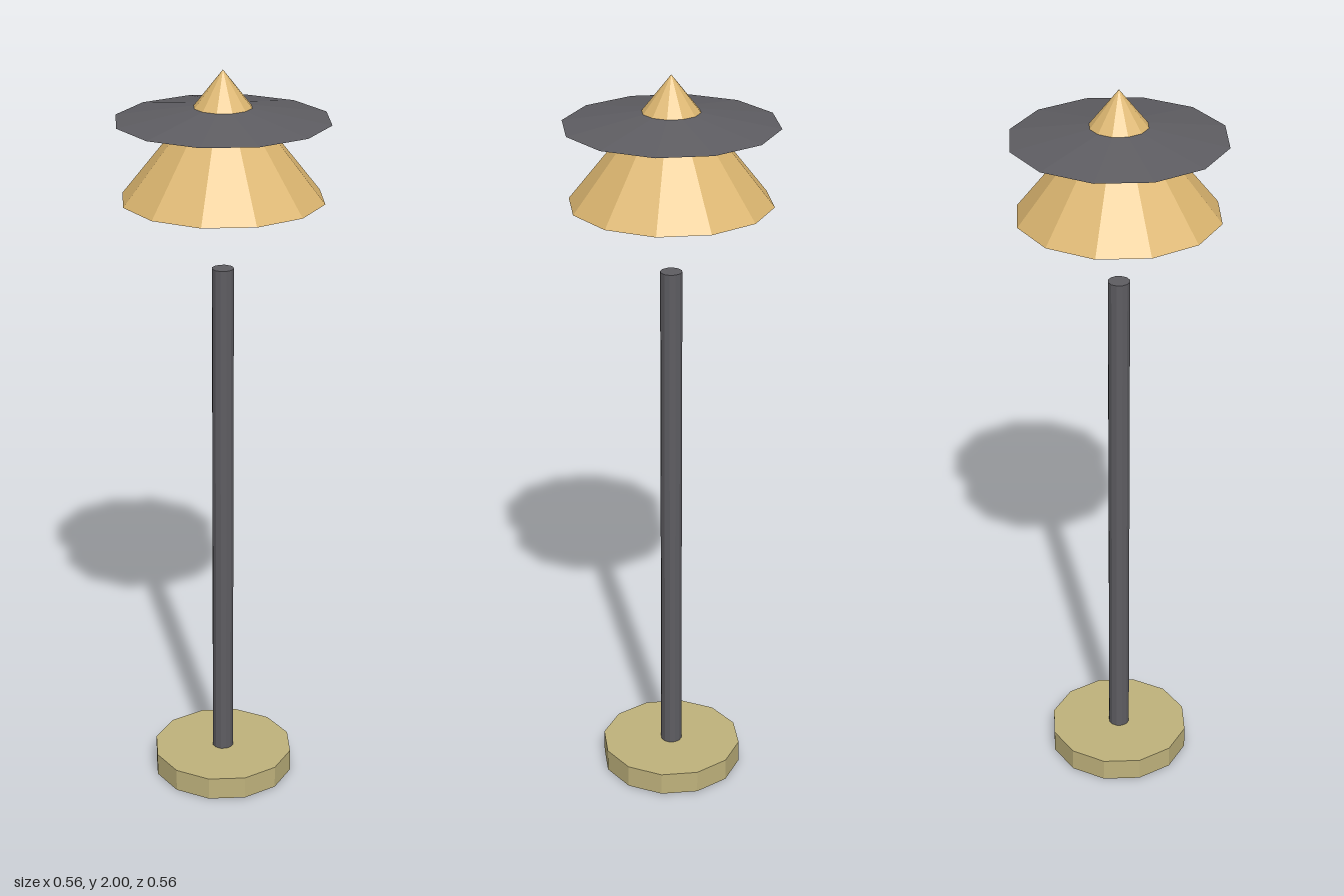
import * as THREE from 'three';

const SIDES = 12;

function material(name, color) {
  const m = new THREE.MeshStandardMaterial({ color, flatShading: true });
  m.name = name;
  return m;
}

export function createModel() {
  const group = new THREE.Group();
  group.name = 'lamp';

  const gold = material('gold', 0xdcb670);
  const khaki = material('khaki', 0xbfb27c);
  const charcoal = material('charcoal', 0x5e5d62);

  // Adds a twelve-sided solid spanning bottom..top in y
  function add(name, mat, topRadius, bottomRadius, bottom, top) {
    const geometry = topRadius === 0
      ? new THREE.ConeGeometry(bottomRadius, top - bottom, SIDES)
      : new THREE.CylinderGeometry(topRadius, bottomRadius, top - bottom, SIDES);
    const mesh = new THREE.Mesh(geometry, mat);
    mesh.name = name;
    mesh.position.y = (bottom + top) / 2;
    group.add(mesh);
  }

  // Foot and post
  add('base', khaki, 0.194, 0.194, 0, 0.063);
  add('post', charcoal, 0.029, 0.029, 0.002, 1.482);

  // Floating conical shade with a shallow brim passing through it
  add('shade', gold, 0, 0.264, 1.668, 2);
  add('brim', charcoal, 0, 0.278, 1.872, 1.918);

  return group;
}
